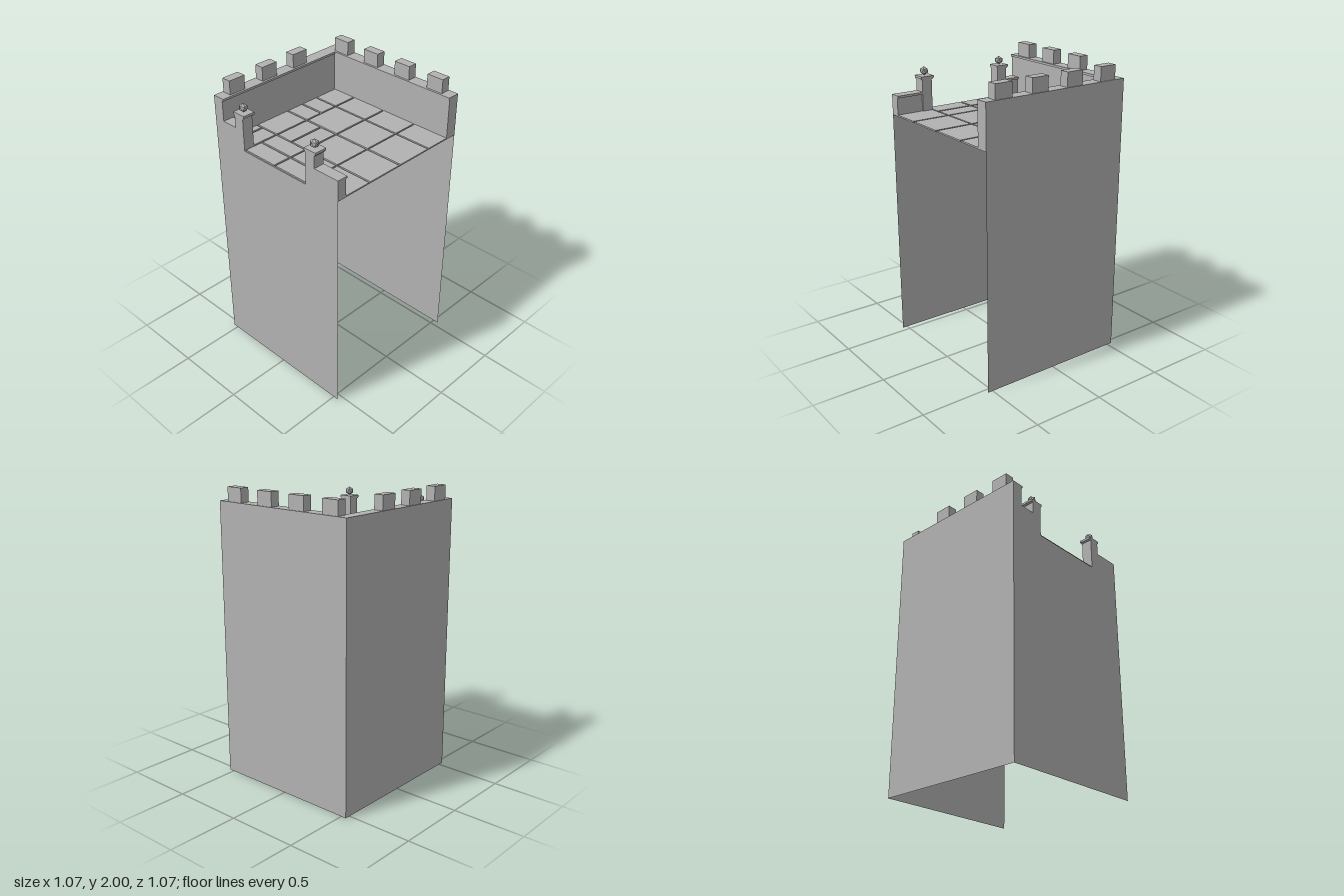
import * as THREE from 'three';

export function createModel() {
  const tower = new THREE.Group();
  tower.name = 'towerTop';
  const stone = new THREE.MeshStandardMaterial({ color: 0xb2b2b2, side: THREE.DoubleSide });
  stone.name = 'stoneGrey';

  const H = 0.537;       // half width of the tower
  const BASE = 1.61;     // underside of the floor
  const FLOOR = 1.62;    // top of the paving
  const TOP = 1.905;     // top of the parapets
  const IN = 0.455;      // inner face of the tall parapets
  const LIP = 0.015;     // height of the coping

  const add = (name, geometry, parent = tower) => {
    const mesh = new THREE.Mesh(geometry, stone);
    mesh.name = name;
    parent.add(mesh);
    return mesh;
  };
  // Box given by its limits on each axis
  const box = (name, x0, x1, y0, y1, z0, z1, parent) =>
    add(name, new THREE.BoxGeometry(x1 - x0, y1 - y0, z1 - z0)
      .translate((x0 + x1) / 2, (y0 + y1) / 2, (z0 + z1) / 2), parent);

  // Thin outer walls; the +x side is open
  const wall = (name, angle) =>
    add(name, new THREE.PlaneGeometry(2 * H, BASE).translate(0, BASE / 2, H).rotateY(angle));
  wall('frontWall', 0);
  wall('backWall', Math.PI);
  wall('rightWall', -Math.PI / 2);

  // Floor slab
  add('floor', new THREE.PlaneGeometry(2 * H, 2 * H).rotateX(-Math.PI / 2).translate(0, BASE, 0));

  // Paving: x0, x1, z0, z1 of each slab
  const paving = new THREE.Group();
  paving.name = 'paving';
  tower.add(paving);
  const A = [-0.455, -0.277], B = [-0.265, -0.007], C = [0.005, 0.264], D = [0.274, H];
  const r0 = [-0.455, -0.279], r1 = [-0.267, -0.009], r2 = [0.004, 0.262], r3 = [0.274, 0.47];
  const slabs = [
    [A, r0], [B, r0], [C, r0], [D, r0],
    [A, [-0.267, -0.146]], [A, [-0.131, -0.009]], [B, r1], [C, r1], [D, r1],
    [A, r2], [[-0.265, -0.144], r2], [[-0.131, -0.007], r2], [C, r2], [D, r2],
    [[-0.455, -0.412], r3], [[-0.398, -0.277], r3], [D, r3],
    [B, [0.274, 0.393]], [C, [0.274, 0.393]], [B, [0.407, 0.531]], [C, [0.407, 0.531]],
  ];
  for (const [x, z] of slabs) box('pavingSlab', x[0], x[1], BASE, FLOOR, z[0], z[1], paving);

  // Tall parapets with a slightly overhanging coping
  box('backParapet', -H, H, BASE, TOP - LIP, -H, -IN);
  box('backCoping', -H, H, TOP - LIP, TOP, -H, -0.45);
  box('rightParapet', -H, -IN - 0.005, BASE, TOP - LIP, -IN, H);
  box('rightCoping', -H, -0.45, TOP - LIP, TOP, -0.45, H);

  // Merlons: four at the back, three on the right
  for (const c of [-0.405, -0.135, 0.135, 0.405]) {
    box('backMerlon', c - 0.061, c + 0.061, TOP, 2, -0.53, -0.465);
    if (c > -0.3) box('rightMerlon', -0.53, -0.465, TOP, 2, c - 0.061, c + 0.061);
  }

  // Low front parapets either side of the opening
  for (const [x0, x1] of [[-0.46, -0.345], [0.345, H]]) {
    box('frontParapet', x0, x1, BASE, 1.75 - LIP, 0.47, H);
    box('frontCoping', x0, x1, 1.75 - LIP, 1.75, 0.46, H);
  }

  // Gate pillars with stepped cap and faceted ball
  for (const s of [-1, 1]) {
    const pillar = new THREE.Group();
    pillar.name = 'gatePillar';
    tower.add(pillar);
    const x = s * 0.31;
    box('pillarShaft', x - 0.037, x + 0.037, BASE, 1.832, 0.46, H, pillar);
    box('pillarNeck', x - 0.042, x + 0.042, 1.832, 1.84, 0.455, H, pillar);
    box('pillarCap', x - 0.048, x + 0.048, 1.84, 1.856, 0.45, H, pillar);
    add('pillarBall', new THREE.IcosahedronGeometry(0.03, 0)
      .rotateX(-Math.atan((1 + Math.sqrt(5)) / 2)).translate(x, 1.886, 0.495), pillar);
  }
  return tower;
}
